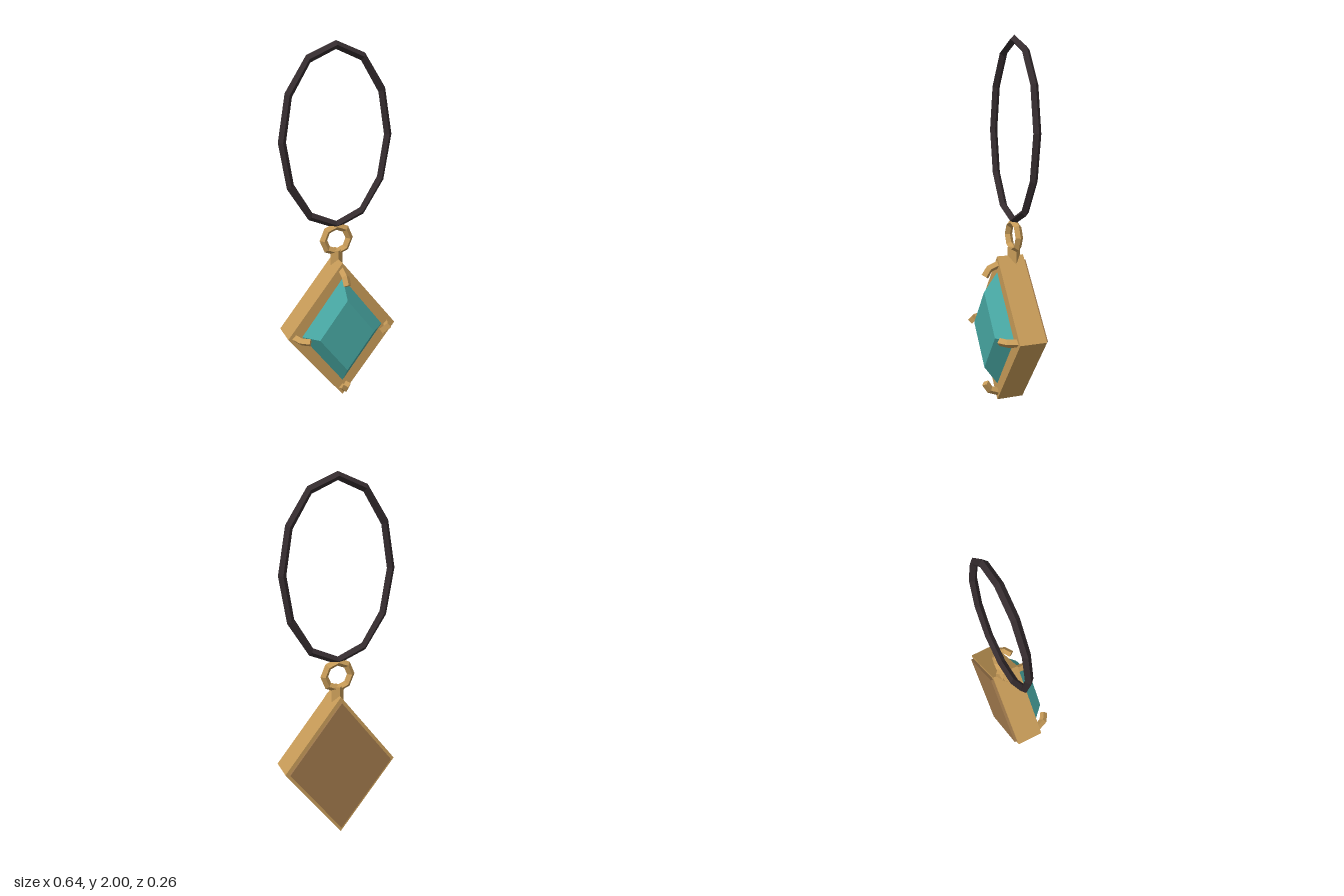
import * as THREE from 'three';

const mat = (name, color) => {
  const m = new THREE.MeshStandardMaterial({ color, flatShading: true });
  m.name = name;
  return m;
};

export function createModel() {
  const group = new THREE.Group();
  const gold = mat('gold', 0xc79b58);
  const bronze = mat('bronze', 0x9c764a);
  const teal = mat('teal', 0x48a8a3);
  const dark = mat('dark leather', 0x352c2f);
  const midY = 0.413, ringZ = -0.06;

  const add = (name, geometry, material, x = 0, y = 0, z = 0) => {
    const mesh = new THREE.Mesh(geometry, material);
    mesh.name = name;
    mesh.position.set(x, y, z);
    group.add(mesh);
    return mesh;
  };

  // Diamond-shaped slab from z0 to z1; taper scales the front face
  const slab = (w, h, z0, z1, taper = 1) =>
    new THREE.CylinderGeometry(taper, 1, z1 - z0, 4)
      .rotateX(Math.PI / 2)
      .scale(w, h, 1)
      .translate(0, 0, (z0 + z1) / 2);

  add('frame', slab(0.32, 0.41, -0.115, 0.038), gold, 0, midY);
  add('backPlate', slab(0.297, 0.38, -0.13, -0.114), bronze, 0, midY);
  add('gem', slab(0.24, 0.32, 0.037, 0.115, 0.67), teal, 0, midY + 0.003);

  // Bent four-sided claw: each level of a cylinder is moved to a point on the path
  const claw = (dx, dy, shift) => {
    const path = [[0.29, -0.004], [0.257, 0.083], [0.215, 0.11]]
      .map(([u, z]) => new THREE.Vector2(u + shift, z));
    const out = new THREE.Vector3(dx, dy, 0);
    const front = new THREE.Vector3(0, 0, 1);
    const dirs = [path[1].clone().sub(path[0]).normalize(), null, path[2].clone().sub(path[1]).normalize()];
    dirs[1] = dirs[0].clone().add(dirs[2]).normalize();
    const g = new THREE.CylinderGeometry(0.022, 0.022, 1, 4, 2);
    const pos = g.attributes.position;
    for (let i = 0; i < pos.count; i++) {
      const k = Math.round((pos.getY(i) + 0.5) * 2);
      const t = out.clone().multiplyScalar(dirs[k].x).addScaledVector(front, dirs[k].y);
      const n = out.clone().multiplyScalar(dirs[k].y).addScaledVector(front, -dirs[k].x);
      const b = n.clone().cross(t);
      const p = out.clone().multiplyScalar(path[k].x).addScaledVector(front, path[k].y)
        .addScaledVector(n, pos.getX(i)).addScaledVector(b, pos.getZ(i));
      pos.setXYZ(i, p.x, p.y, p.z);
    }
    g.computeVertexNormals();
    return g;
  };
  add('leftClaw', claw(1, 0, 0), gold, 0, midY);
  add('rightClaw', claw(-1, 0, 0), gold, 0, midY);
  add('topClaw', claw(0, 1, 0.088), gold, 0, midY);
  add('bottomClaw', claw(0, -1, 0.088), gold, 0, midY);

  // Stem and hanging ring
  add('stem', new THREE.CylinderGeometry(0.036, 0.036, 0.12, 4), gold, 0, 0.81, ringZ);
  add('hangingRing', new THREE.TorusGeometry(0.076, 0.022, 4, 8), gold, 0, 0.93, ringZ);

  // Oval cord: offset the sections of a round torus to keep its thickness even
  const cord = new THREE.TorusGeometry(0.298, 0.022, 4, 12);
  const pos = cord.attributes.position;
  for (let i = 0; i < pos.count; i++) {
    const a = Math.atan2(pos.getY(i), pos.getX(i));
    pos.setY(i, pos.getY(i) + Math.sin(a) * (0.482 - 0.298));
  }
  cord.computeVertexNormals();
  add('cord', cord, dark, 0, 1.496, ringZ);

  return group;
}
